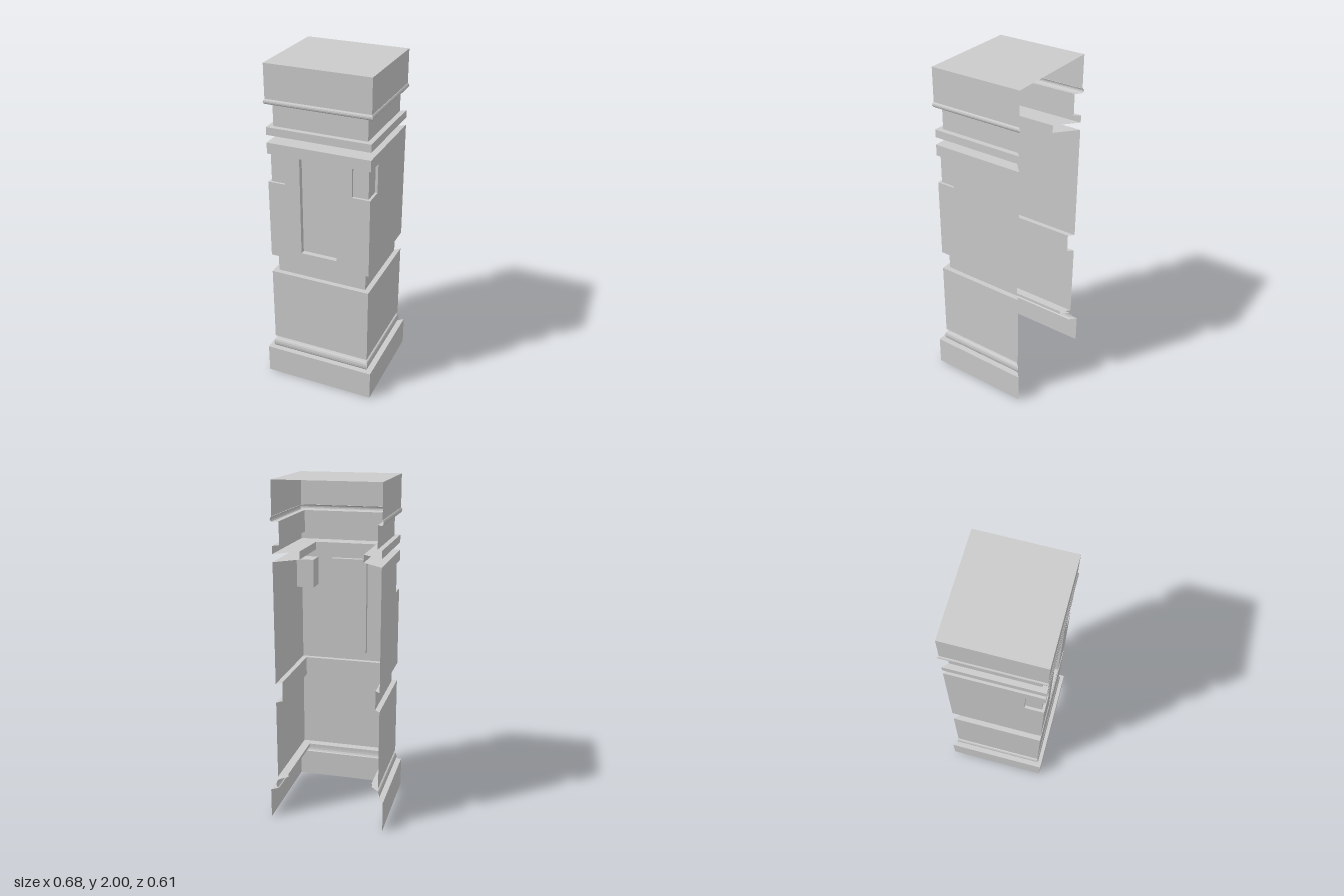
import * as THREE from 'three';

const mat = new THREE.MeshStandardMaterial({ color: 0xcccccc, side: THREE.DoubleSide, flatShading: true });
const HX = 0.305, HZ = 0.274;              // half width and half depth of the shaft
const BODY = [0.845, 1.555];               // height range of the carved block
const NOTCH = { y0: 1.32, y1: 1.49, x: 0.2, z: 0.165, depth: 0.015 };
const SLOT = { x: 0.11, y0: 0.9, y1: 1.49, depth: 0.03 };

function quadMesh(name, quads) {
  const pos = [];
  for (const [a, b, c, d] of quads) pos.push(...a, ...b, ...c, ...a, ...c, ...d);
  const g = new THREE.BufferGeometry();
  g.setAttribute('position', new THREE.Float32BufferAttribute(pos, 3));
  g.computeVertexNormals();
  const m = new THREE.Mesh(g, mat);
  m.name = name;
  return m;
}

// Sweeps a profile of [y, halfWidth, halfDepth] round three sides, mitred at all corners, open at the back
function sweep(name, profile) {
  const ring = ([y, x, z = x - 0.031]) => [[-x, y, -z], [-x, y, z], [x, y, z], [x, y, -z]];
  const quads = [];
  for (let i = 0; i < profile.length - 1; i++) {
    const a = ring(profile[i]), b = ring(profile[i + 1]);
    for (let k = 0; k < 3; k++) quads.push([a[k], a[k + 1], b[k + 1], b[k]]);
  }
  return quadMesh(name, quads);
}

// Rounded bead between two heights
function bead(y0, y1, inner, outer) {
  const pts = [];
  for (let i = 0; i <= 6; i++) {
    const t = (i / 6) * Math.PI;
    pts.push([(y0 + y1) / 2 - Math.cos(t) * (y1 - y0) / 2, inner + Math.sin(t) * (outer - inner)]);
  }
  return pts;
}

function panel(name, points, hole) {
  const shape = new THREE.Shape(points.map(p => new THREE.Vector2(...p)));
  if (hole) shape.holes.push(new THREE.Path(hole.map(p => new THREE.Vector2(...p))));
  const m = new THREE.Mesh(new THREE.ShapeGeometry(shape), mat);
  m.name = name;
  return m;
}

// Walls of the carved block, with notched front corners
function bodyWalls(group) {
  const [b, t] = BODY, { y0, y1, x, z } = NOTCH, s = SLOT;
  group.add(panel('frontWall', [
    [-HX, b], [HX, b], [HX, y0], [x, y0], [x, y1], [HX, y1], [HX, t],
    [-HX, t], [-HX, y1], [-x, y1], [-x, y0], [-HX, y0],
  ], [[-s.x, s.y0], [-s.x, s.y1], [s.x, s.y1], [s.x, s.y0]]));
  group.children.at(-1).position.z = HZ;
  for (const side of [1, -1]) {
    const wall = panel(side > 0 ? 'leftWall' : 'rightWall', [
      [-HZ, b], [HZ, b], [HZ, y0], [z, y0], [z, y1], [HZ, y1], [HZ, t], [-HZ, t],
    ].map(([u, y]) => [-side * u, y]));
    wall.rotation.y = side * Math.PI / 2;
    wall.position.x = side * HX;
    group.add(wall);
  }
}

// Sunken upright panel in the front wall
function frontRecess() {
  const { x, y0, y1, depth } = SLOT;
  const rect = z => [[-x, y0, z], [x, y0, z], [x, y1, z], [-x, y1, z]];
  const o = rect(HZ), i = rect(HZ - depth);
  const quads = [i];
  for (let k = 0; k < 4; k++) {
    const n = (k + 1) % 4;
    quads.push([o[k], o[n], i[n], i[k]]);
  }
  return quadMesh('frontRecess', quads);
}

// Block set back in a corner notch, with the ledges that join it to the walls
function cornerBlock(side) {
  const { x, z, y0, y1, depth } = NOTCH;
  const g = new THREE.Group();
  g.name = side > 0 ? 'leftCornerBlock' : 'rightCornerBlock';
  const ix = HX - depth, iz = HZ - depth;
  const block = new THREE.Mesh(new THREE.BoxGeometry(ix - x, y1 - y0, iz - z), mat);
  block.name = 'block';
  block.position.set(side * (x + ix) / 2, (y0 + y1) / 2, (z + iz) / 2);
  g.add(block);
  const p = (px, y, pz) => [side * px, y, pz];
  const quads = [
    [p(x, y0, iz), p(x, y0, HZ), p(x, y1, HZ), p(x, y1, iz)],
    [p(ix, y0, z), p(HX, y0, z), p(HX, y1, z), p(ix, y1, z)],
  ];
  for (const y of [y0, y1]) {
    quads.push([p(x, y, HZ), p(HX, y, HZ), p(ix, y, iz), p(x, y, iz)]);
    quads.push([p(HX, y, HZ), p(HX, y, z), p(ix, y, z), p(ix, y, iz)]);
  }
  if (side < 0) quads.forEach(q => q.reverse());
  g.add(quadMesh('ledges', quads));
  return g;
}

export function createModel() {
  const model = new THREE.Group();
  model.name = 'pillar';

  // Plinth, base moulding, lower block and waist
  model.add(sweep('plinth', [[0, 0.34, 0.305], [0.18, 0.34, 0.305], [0.18, 0.3]]));
  model.add(sweep('baseMoulding', [...bead(0.18, 0.235, 0.3, 0.313), [0.235, 0.255], [0.255, 0.255], [0.255, HX]]));
  model.add(sweep('lowerBlock', [[0.255, HX], [0.73, HX], [0.73, 0.275]]));
  model.add(sweep('waist', [[0.73, 0.275], [BODY[0], 0.275], [BODY[0], HX]]));

  // Carved block
  const body = new THREE.Group();
  body.name = 'carvedBlock';
  bodyWalls(body);
  body.add(frontRecess(), cornerBlock(1), cornerBlock(-1));
  model.add(body);

  // Neck, collar, frieze and capital
  model.add(sweep('neck', [[BODY[1], HX], [BODY[1], 0.183, 0.167], [1.6, 0.183, 0.167], [1.6, HX]]));
  model.add(sweep('collar', [[1.6, HX], [1.645, HX], [1.645, 0.275]]));
  model.add(sweep('frieze', [[1.645, 0.275], [1.775, 0.275], [1.775, 0.3]]));
  model.add(sweep('capitalMoulding', [...bead(1.775, 1.805, 0.3, 0.312), [1.805, HX]]));
  model.add(sweep('capital', [[1.805, HX], [2, HX]]));
  model.add(quadMesh('top', [[[-HX, 2, HZ], [HX, 2, HZ], [HX, 2, -HZ], [-HX, 2, -HZ]]]));
  return model;
}
